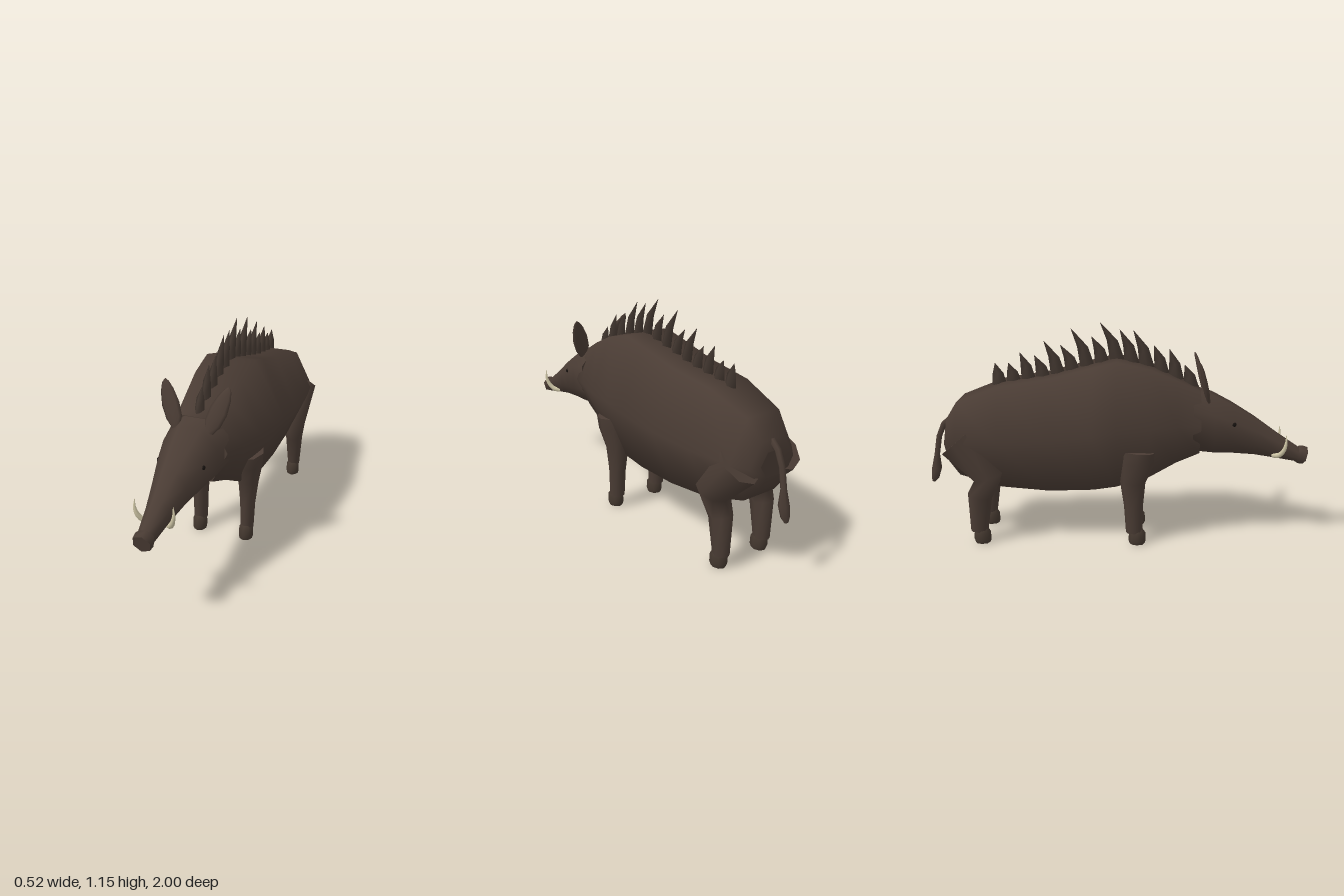
import * as THREE from 'three';

const material = (name, color) => {
  const m = new THREE.MeshStandardMaterial({ color });
  m.name = name;
  return m;
};

// Lofts rings along a path. Each row: [x, y, z, sideRadius, otherRadius].
// With a fixed axis all rings stay parallel, otherwise they follow the path.
function loft(rows, sides, phase = 0, axis = null) {
  const pos = [], index = [];
  const centers = rows.map(r => new THREE.Vector3(r[0], r[1], r[2]));
  const last = rows.length - 1;
  rows.forEach((r, i) => {
    const t = axis ? axis.clone()
      : centers[Math.min(i + 1, last)].clone().sub(centers[Math.max(i - 1, 0)]).normalize();
    const s = new THREE.Vector3(1, 0, 0).addScaledVector(t, -t.x).normalize();
    const b = t.clone().cross(s);
    for (let j = 0; j < sides; j++) {
      const a = phase + (j / sides) * Math.PI * 2;
      const p = centers[i].clone()
        .addScaledVector(s, Math.cos(a) * r[3])
        .addScaledVector(b, Math.sin(a) * (r[4] ?? r[3]));
      pos.push(p.x, p.y, p.z);
    }
  });
  for (let i = 0; i < last; i++) {
    for (let j = 0; j < sides; j++) {
      const a = i * sides + j, b = i * sides + (j + 1) % sides;
      index.push(a, b, b + sides, a, b + sides, a + sides);
    }
  }
  // Flat end caps with their own corners
  for (const end of [0, last]) {
    const start = pos.length / 3;
    pos.push(...pos.slice(end * sides * 3, (end + 1) * sides * 3));
    pos.push(...centers[end].toArray());
    for (let j = 0; j < sides; j++) {
      const a = start + j, b = start + (j + 1) % sides, c = start + sides;
      if (end === 0) index.push(c, b, a); else index.push(c, a, b);
    }
  }
  const g = new THREE.BufferGeometry();
  g.setAttribute('position', new THREE.Float32BufferAttribute(pos, 3));
  g.setIndex(index);
  g.computeVertexNormals();
  return g;
}

// Rows [z, top, bottom, halfWidth] to a trunk with upright, flat-topped sections
function trunk(rows, sides) {
  const reach = Math.cos(Math.PI / sides);
  const k = sides === 6 ? Math.sin(Math.PI / 3) : reach;
  const phase = sides === 6 ? 0 : Math.PI / sides;
  const w = sides === 6 ? 1 : 1 / reach;
  return loft(rows.map(([z, top, bottom, half]) =>
    [0, (top + bottom) / 2, z, half * w, (top - bottom) / 2 / k]), sides, phase, new THREE.Vector3(0, 0, 1));
}

export function createModel() {
  const model = new THREE.Group();
  model.name = 'boar';
  const hide = material('hide brown', 0x4a3c34);
  const bristle = material('bristle brown', 0x40352e);
  const hoofMat = material('hoof brown', 0x44382f);
  const ivory = material('tusk ivory', 0xcfc6a6);
  const black = material('eye black', 0x17120f);

  const add = (name, geometry, mat) => {
    const mesh = new THREE.Mesh(geometry, mat);
    mesh.name = name;
    model.add(mesh);
    return mesh;
  };

  // Six-sided body, listed from rump to neck
  const back = [
    [-0.895, 0.61, 0.49, 0.08], [-0.885, 0.66, 0.44, 0.14], [-0.82, 0.76, 0.37, 0.2],
    [-0.6, 0.845, 0.312, 0.238], [-0.35, 0.885, 0.293, 0.25], [-0.12, 0.945, 0.302, 0.26],
    [0, 0.975, 0.32, 0.26], [0.17, 0.935, 0.37, 0.238], [0.31, 0.875, 0.445, 0.2],
    [0.43, 0.815, 0.49, 0.16],
  ];
  add('body', trunk(back, 6), hide);

  // Long wedge head
  add('head', trunk([
    [0.39, 0.825, 0.5, 0.15], [0.5, 0.79, 0.488, 0.138], [0.6, 0.738, 0.484, 0.115],
    [0.72, 0.665, 0.472, 0.083], [0.84, 0.58, 0.45, 0.056], [0.96, 0.5, 0.427, 0.038],
  ], 8), hide);

  add('snout', loft([[0, 0.468, 0.95, 0.042], [0, 0.463, 0.968, 0.049], [0, 0.456, 0.996, 0.046]], 6, 0.35), hide);

  // Swept-back bristles along the spine: [tip z, tip y]
  const tips = [
    [0.35, 0.94], [0.27, 1.02], [0.19, 1.04], [0.085, 1.115], [0.015, 1.12], [-0.085, 1.155], [-0.13, 1.085],
    [-0.235, 1.125], [-0.29, 1.04], [-0.375, 1.06], [-0.425, 0.985], [-0.5, 1], [-0.56, 0.945], [-0.63, 0.945],
  ];
  const spineY = z => {
    const i = back.findIndex(r => r[0] > z);
    const [a, b] = [back[i - 1], back[i]];
    return THREE.MathUtils.lerp(a[1], b[1], (z - a[0]) / (b[0] - a[0]));
  };
  tips.forEach(([tz, ty], i) => {
    const z = 0.385 - 0.0765 * i, y = spineY(z);
    add('bristle' + (i + 1), loft([
      [0, y - 0.01, z, 0.026, 0.038],
      [0, y + (ty - y) * 0.5, z + (tz - z) * 0.3, 0.02, 0.028],
      [0, ty, tz, 0.001, 0.001],
    ], 4, 0, new THREE.Vector3(0, 1, 0)), bristle);
  });

  // Tail with a tuft
  add('tail', loft([
    [0, 0.655, -0.875, 0.016], [0, 0.62, -0.915, 0.016], [0, 0.55, -0.945, 0.015],
    [0, 0.45, -0.962, 0.015], [0, 0.375, -0.968, 0.027], [0, 0.32, -0.98, 0.021], [0, 0.297, -0.99, 0.009],
  ], 6), hide);

  for (const [side, s] of [['left', 1], ['right', -1]]) {
    const m = rows => rows.map(([x, ...rest]) => [x * s, ...rest]);

    add(side + 'FrontLeg', loft(m([
      [0.14, 0.525, 0.11, 0.085, 0.1], [0.138, 0.46, 0.105, 0.082, 0.092], [0.138, 0.35, 0.085, 0.056, 0.066],
      [0.136, 0.22, 0.09, 0.042, 0.05], [0.135, 0.07, 0.095, 0.037, 0.044],
    ]), 8), hide);

    add(side + 'HindLeg', loft(m([
      [0.125, 0.56, -0.82, 0.1, 0.11], [0.135, 0.375, -0.66, 0.08, 0.088],
      [0.135, 0.265, -0.715, 0.052, 0.064], [0.135, 0.07, -0.725, 0.036, 0.046],
    ]), 8), hide);

    // Hooves
    for (const [leg, z] of [['Front', 0.11], ['Hind', -0.71]]) {
      add(side + leg + 'Hoof', loft(m([
        [0.135, 0.08, z - 0.004, 0.03, 0.034], [0.135, 0.065, z, 0.039, 0.043],
        [0.135, 0.025, z, 0.04, 0.046], [0.135, 0.006, z, 0.034, 0.04],
      ]), 8), hoofMat);
    }

    // Leaf-shaped upright ears
    add(side + 'Ear', loft(m([
      [0.085, 0.765, 0.47, 0.02, 0.008], [0.098, 0.81, 0.458, 0.042, 0.014], [0.122, 0.87, 0.443, 0.046, 0.014],
      [0.145, 0.93, 0.428, 0.034, 0.011], [0.158, 0.965, 0.417, 0.018, 0.007], [0.161, 0.979, 0.412, 0.004, 0.003],
    ]), 8), hide);

    // Upturned tusks
    const curve = new THREE.CatmullRomCurve3([
      [0.035, 0.468, 0.82], [0.062, 0.475, 0.845], [0.085, 0.51, 0.866], [0.095, 0.55, 0.873], [0.093, 0.592, 0.872],
    ].map(p => new THREE.Vector3(...p)));
    add(side + 'Tusk', loft(m(curve.getPoints(10).map((p, i) =>
      [p.x, p.y, p.z, 0.0135 * (1 - (i / 10) ** 2) + 0.001])), 8), ivory);

    const eye = add(side + 'Eye', new THREE.SphereGeometry(0.012, 10, 8), black);
    eye.position.set(0.11 * s, 0.653, 0.6);
  }
  return model;
}
